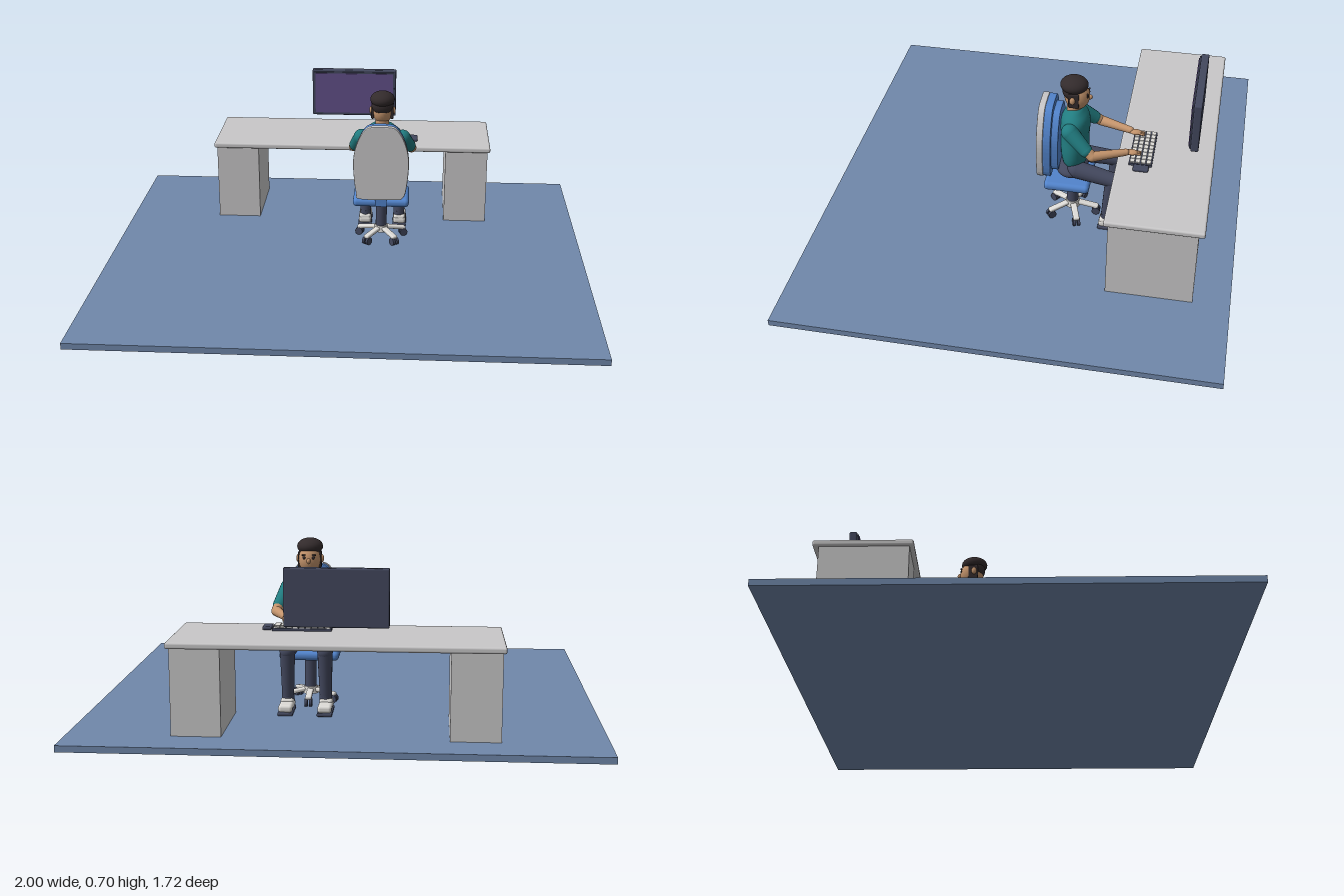
import * as THREE from 'three';
import { RoundedBoxGeometry } from 'three/addons/geometries/RoundedBoxGeometry.js';

const material = (name, color, side = THREE.FrontSide) =>
  Object.assign(new THREE.MeshStandardMaterial({ color, side }), { name });

const mats = {
  floor: material('floor blue', 0x7088ab),
  grey: material('desk grey', 0xc9c8c9),
  blue: material('chair blue', 0x5284cc),
  navy: material('dark navy', 0x43485e),
  teal: material('shirt teal', 0x217c80),
  skin: material('skin', 0xc4946c),
  hair: material('hair dark', 0x332b2c),
  screen: material('screen purple', 0x63508a),
  white: material('off white', 0xdedcd8),
};

const CX = 0.142; // centre line of the chair and the person

function add(parent, name, geometry, mat, x = 0, y = 0, z = 0) {
  const mesh = new THREE.Mesh(geometry, mat);
  mesh.name = name;
  mesh.position.set(x, y, z);
  parent.add(mesh);
  return mesh;
}

function group(parent, name, x = 0, y = 0, z = 0) {
  const g = new THREE.Group();
  g.name = name;
  g.position.set(x, y, z);
  parent.add(g);
  return g;
}

const box = (w, h, d) => new THREE.BoxGeometry(w, h, d);
const round = (w, h, d, r) => new RoundedBoxGeometry(w, h, d, 3, r);
const ball = (rx, ry = rx, rz = rx) => new THREE.SphereGeometry(1, 24, 16).scale(rx, ry, rz);

// Tapered limb with round ends, from point a to point b
function limb(parent, name, mat, a, b, ra, rb) {
  const A = new THREE.Vector3(...a), B = new THREE.Vector3(...b);
  const dir = B.clone().sub(A);
  const g = group(parent, name);
  const tube = add(g, name + 'Tube', new THREE.CylinderGeometry(rb, ra, dir.length(), 18), mat);
  tube.position.copy(A).lerp(B, 0.5);
  tube.quaternion.setFromUnitVectors(new THREE.Vector3(0, 1, 0), dir.normalize());
  add(g, name + 'Start', ball(ra), mat, ...a);
  add(g, name + 'End', ball(rb), mat, ...b);
  return g;
}

// Rounded, tapering outline of the chair back, extruded along z
function backPanel(scale, depth) {
  const half = [[0.085, -0.162], [0.105, -0.13], [0.117, -0.02], [0.112, 0.05], [0.092, 0.11], [0.065, 0.15], [0.035, 0.162]];
  const pts = [...half, ...half.map(([x, y]) => [-x, y]).reverse()].map(([x, y]) => new THREE.Vector2(x * scale, y * scale));
  const shape = new THREE.Shape(new THREE.SplineCurve([...pts, pts[0]]).getPoints(56).slice(0, -1));
  return new THREE.ExtrudeGeometry(shape, {
    depth: depth - 0.008, bevelEnabled: true, bevelThickness: 0.004, bevelSize: 0.004, bevelOffset: -0.004, bevelSegments: 2,
  }).translate(0, 0, 0.004);
}

function buildDesk(root) {
  const desk = group(root, 'desk');
  add(desk, 'deskTop', round(1.235, 0.024, 0.38, 0.008), mats.grey, 0, 0.37, -0.547);
  for (const s of [-1, 1]) add(desk, 'pedestal', box(0.187, 0.333, 0.34), mats.grey, s * 0.513, 0.1915, -0.543);

  const monitor = group(root, 'monitor', -0.003, 0.541, -0.656);
  add(monitor, 'monitorCase', round(0.386, 0.218, 0.032, 0.006), mats.navy);
  add(monitor, 'monitorBezel', box(0.37, 0.2, 0.007), mats.navy, 0, 0, 0.0185);
  add(monitor, 'screen', box(0.358, 0.188, 0.004), mats.screen, 0, 0, 0.023);

  const keyboard = group(root, 'keyboard', 0.142, 0.387, -0.452);
  add(keyboard, 'keyboardBase', box(0.225, 0.01, 0.092), mats.navy);
  for (let r = 0; r < 4; r++)
    for (let c = 0; c < 9; c++)
      add(keyboard, 'key', box(0.021, 0.006, 0.018), mats.white, (c - 4) * 0.0242, 0.007, (r - 1.5) * 0.0218);
  add(root, 'mouse', round(0.036, 0.014, 0.062, 0.006), mats.navy, 0.276, 0.389, -0.457);
}

function buildChair(root) {
  const chair = group(root, 'chair', CX, 0, 0);
  add(chair, 'seat', round(0.24, 0.037, 0.186, 0.017), mats.blue, 0, 0.226, -0.158);
  add(chair, 'backShell', backPanel(1, 0.027), mats.grey, 0, 0.418, -0.061);
  add(chair, 'backCushion', backPanel(0.985, 0.032), mats.blue, 0, 0.418, -0.092);
  add(chair, 'backPad', backPanel(0.82, 0.03), mats.blue, 0, 0.418, -0.12);
  add(chair, 'backBracket', box(0.05, 0.07, 0.02), mats.blue, 0, 0.25, -0.068);
  add(chair, 'column', new THREE.CylinderGeometry(0.024, 0.024, 0.15, 20), mats.navy, 0, 0.138, -0.17);
  add(chair, 'hub', new THREE.CylinderGeometry(0.028, 0.032, 0.028, 20), mats.white, 0, 0.073, -0.17);

  // Five spokes with casters
  for (let i = 0; i < 5; i++) {
    const spoke = group(chair, 'spoke', 0, 0, -0.17);
    spoke.rotation.y = i * Math.PI * 0.4 + Math.PI / 2;
    const arm = add(spoke, 'spokeArm', round(0.1, 0.016, 0.026, 0.006), mats.white, 0.06, 0.068, 0);
    arm.rotation.z = -0.17;
    for (const s of [-1, 1]) {
      const wheel = add(spoke, 'caster', new THREE.CylinderGeometry(0.017, 0.017, 0.011, 16), mats.navy, 0.1, 0.042, s * 0.009);
      wheel.rotation.x = Math.PI / 2;
    }
  }
}

function buildHead(person) {
  const head = group(person, 'head', 0, 0.612, -0.175);
  add(head, 'neck', new THREE.CylinderGeometry(0.027, 0.032, 0.08, 18), mats.skin, 0, -0.055, 0.006);
  add(head, 'face', ball(0.045, 0.06, 0.051), mats.skin, 0, 0, -0.004);
  add(head, 'nose', ball(0.008, 0.011, 0.011), mats.skin, 0, -0.002, -0.055);

  // Swept hair cap and back of the hair
  add(head, 'hairTop', ball(0.052, 0.034, 0.056), mats.hair, 0, 0.05, 0.008);
  add(head, 'hairBack', ball(0.045, 0.04, 0.035), mats.hair, 0, 0.026, 0.02);
  for (const s of [-1, 1]) {
    add(head, 'sideburn', round(0.012, 0.065, 0.042, 0.005), mats.hair, s * 0.041, -0.002, 0.004);
    add(head, 'ear', ball(0.008, 0.016, 0.011), mats.skin, s * 0.048, 0.001, 0.008);
    add(head, 'eye', ball(0.007, 0.006, 0.004), mats.hair, s * 0.018, 0.01, -0.049);
    const brow = add(head, 'eyebrow', box(0.019, 0.005, 0.006), mats.hair, s * 0.018, 0.021, -0.047);
    brow.rotation.y = s * 0.3;
  }
}

function buildPerson(root) {
  const person = group(root, 'person', CX, 0, 0);
  buildHead(person);

  // Shirt: rounded body of revolution, flattened front to back
  const profile = [[0, 0.29], [0.062, 0.297], [0.08, 0.325], [0.087, 0.375], [0.086, 0.43], [0.09, 0.48], [0.082, 0.517], [0.055, 0.542], [0.032, 0.556], [0, 0.558]];
  const curve = new THREE.SplineCurve(profile.map((p) => new THREE.Vector2(...p)));
  const body = curve.getPoints(36).map((p) => new THREE.Vector2(Math.max(p.x, 0), p.y));
  add(person, 'shirt', new THREE.LatheGeometry(body, 32).scale(1, 1, 0.66), mats.teal, 0, 0, -0.175);
  add(person, 'hips', ball(0.095, 0.034, 0.066), mats.navy, 0, 0.275, -0.165);

  for (const s of [-1, 1]) {
    // Arms reach forward to the keyboard
    limb(person, 'sleeve', mats.teal, [s * 0.088, 0.492, -0.165], [s * 0.117, 0.432, -0.235], 0.034, 0.027);
    limb(person, 'upperArm', mats.skin, [s * 0.116, 0.435, -0.235], [s * 0.126, 0.413, -0.262], 0.022, 0.021);
    limb(person, 'forearm', mats.skin, [s * 0.126, 0.413, -0.262], [s * 0.076, 0.416, -0.39], 0.021, 0.014);
    add(person, 'hand', ball(0.016, 0.01, 0.025), mats.skin, s * 0.069, 0.414, -0.412);
    for (let f = 0; f < 3; f++)
      limb(person, 'finger', mats.skin, [s * (0.06 + f * 0.009), 0.414, -0.425], [s * (0.057 + f * 0.009), 0.411, -0.446], 0.0045, 0.004);

    // Legs bent at the knee, feet on the floor
    limb(person, 'thigh', mats.navy, [s * 0.058, 0.288, -0.19], [s * 0.074, 0.267, -0.342], 0.037, 0.031);
    limb(person, 'shin', mats.navy, [s * 0.074, 0.267, -0.342], [s * 0.075, 0.09, -0.325], 0.03, 0.024);
    add(person, 'trouserCuff', new THREE.CylinderGeometry(0.024, 0.025, 0.03, 18), mats.navy, s * 0.075, 0.078, -0.324);
    add(person, 'shoe', round(0.056, 0.03, 0.125, 0.012), mats.white, s * 0.077, 0.052, -0.355);
    add(person, 'shoeAnkle', round(0.052, 0.032, 0.06, 0.012), mats.white, s * 0.077, 0.062, -0.325);
    add(person, 'shoeSole', round(0.06, 0.014, 0.132, 0.005), mats.navy, s * 0.077, 0.032, -0.356);
  }
}

export function createModel() {
  const root = new THREE.Group();
  root.name = 'officeWorkstation';
  add(root, 'floor', box(2, 0.025, 1.716), mats.floor, 0, 0.0125, 0);
  buildDesk(root);
  buildChair(root);
  buildPerson(root);
  return root;
}
